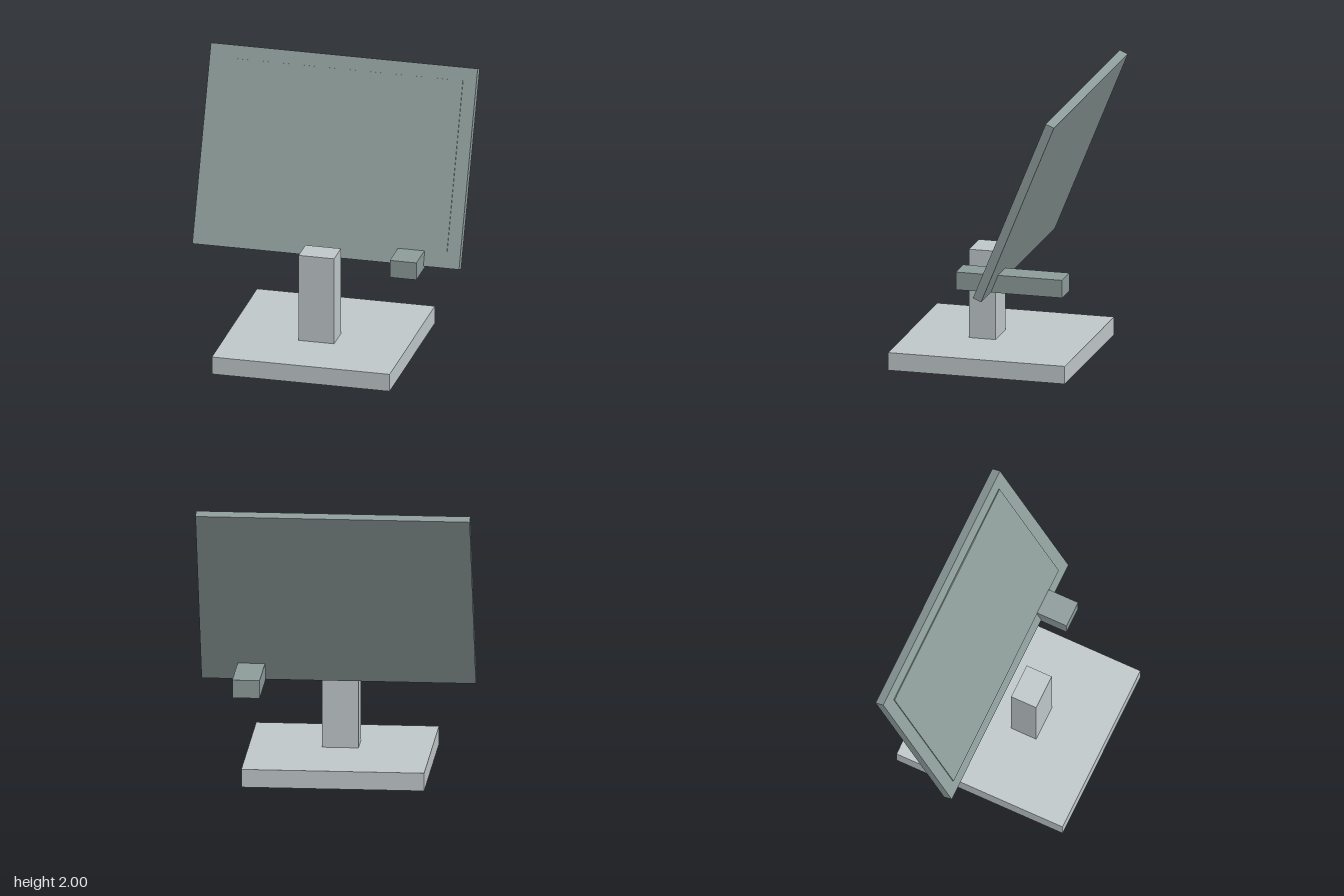
import * as THREE from 'three';

export function createModel() {
  const model = new THREE.Group();
  model.name = 'tiltedPanelOnStand';

  const paleGrey = new THREE.MeshStandardMaterial({ color: 0xc0c8ca });
  paleGrey.name = 'paleGrey';
  const greyGreen = new THREE.MeshStandardMaterial({ color: 0x8d9c9a });
  greyGreen.name = 'greyGreen';

  // Adds a named box of a given size, centred at a position
  const addBox = (parent, name, material, size, position) => {
    const mesh = new THREE.Mesh(new THREE.BoxGeometry(...size), material);
    mesh.name = name;
    mesh.position.set(...position);
    parent.add(mesh);
  };

  // Stand: square base with an upright post in front of the panel
  addBox(model, 'base', paleGrey, [1.296, 0.13, 1.296], [0, 0.065, 0.006]);
  addBox(model, 'post', paleGrey, [0.259, 0.65, 0.195], [0, 0.455, 0.108]);

  // Arm passing through the lower left of the panel
  addBox(model, 'arm', greyGreen, [0.194, 0.13, 0.778], [0.615, 0.716, -0.251]);

  // Panel leaning back, with a slightly raised screen on its front
  const panel = new THREE.Group();
  panel.name = 'panel';
  panel.position.set(0, 1.326, -0.356);
  panel.rotation.x = THREE.MathUtils.degToRad(-22);
  addBox(panel, 'frame', greyGreen, [1.944, 1.426, 0.065], [0, 0, 0]);
  addBox(panel, 'screen', greyGreen, [1.75, 1.23, 0.009], [0, 0.003, 0.036]);
  model.add(panel);

  return model;
}
